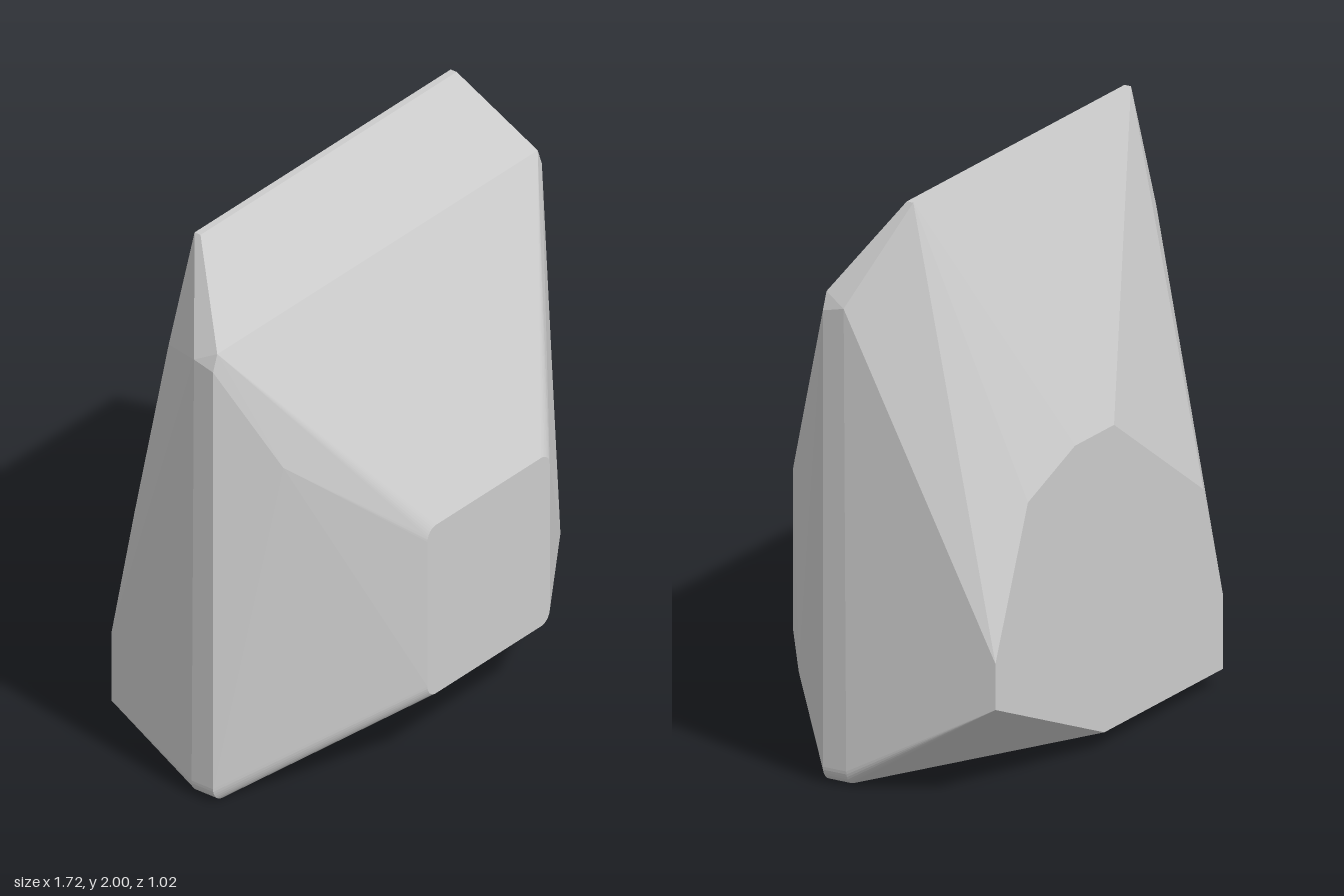
import * as THREE from 'three';
import { ConvexGeometry } from 'three/addons/geometries/ConvexGeometry.js';

const v = (x, y, z) => new THREE.Vector3(x, y, z);

// Rounded corner in the xy plane: centre, radius, start angle in quarter turns
function corner(cx, cy, r, quarter, z, steps = 8) {
  const pts = [];
  for (let i = 0; i <= steps; i++) {
    const a = (quarter + i / steps) * Math.PI / 2;
    pts.push(v(cx + r * Math.cos(a), cy + r * Math.sin(a), z));
  }
  return pts;
}

export function createModel() {
  const group = new THREE.Group();
  group.name = 'rock';
  const pts = [];

  // Small front facet with rounded corners
  const r = 0.045, x0 = -0.25, x1 = 0.39, y0 = 0.27, y1 = 0.91, zf = 0.51;
  pts.push(...corner(x1 - r, y1 - r, r, 0, zf), ...corner(x0 + r, y1 - r, r, 1, zf),
    ...corner(x0 + r, y0 + r, r, 2, zf), ...corner(x1 - r, y0 + r, r, 3, zf));

  // Wide middle band: rounded at the base, clipped at the shoulders
  const R = 0.055, w = 0.86;
  for (const z of [0.1, 0.01]) {
    pts.push(...corner(-w + R, R, R, 2, z), ...corner(w - R, R, R, 3, z));
  }
  for (const s of [-1, 1]) {
    pts.push(v(s * 0.838, 1.7, 0.1), v(s * w, 1.64, 0.1), v(s * w, 1.66, 0.02));
    // Top ridge
    pts.push(v(s * 0.67, 2, -0.105), v(s * 0.67, 2, -0.13));
  }

  // Single chipped corners on the flanks
  pts.push(v(-0.68, 1.25, 0.25), v(0.77, 0.33, 0.25), v(-0.73, 1.58, -0.19));

  // Flat irregular back facet
  const back = [[0.77, 0.34], [0.77, 0.5], [0.57, 1.0], [0.28, 1.11], [0.04, 1.11],
    [-0.51, 0.72], [-0.63, 0.32], [-0.63, 0.06], [0.1, 0.06]];
  for (const [x, y] of back) pts.push(v(x, y, -0.51));

  const rock = new THREE.Mesh(new ConvexGeometry(pts),
    new THREE.MeshStandardMaterial({ color: 0xcccccc, flatShading: true }));
  rock.name = 'rockBody';
  group.add(rock);
  return group;
}
